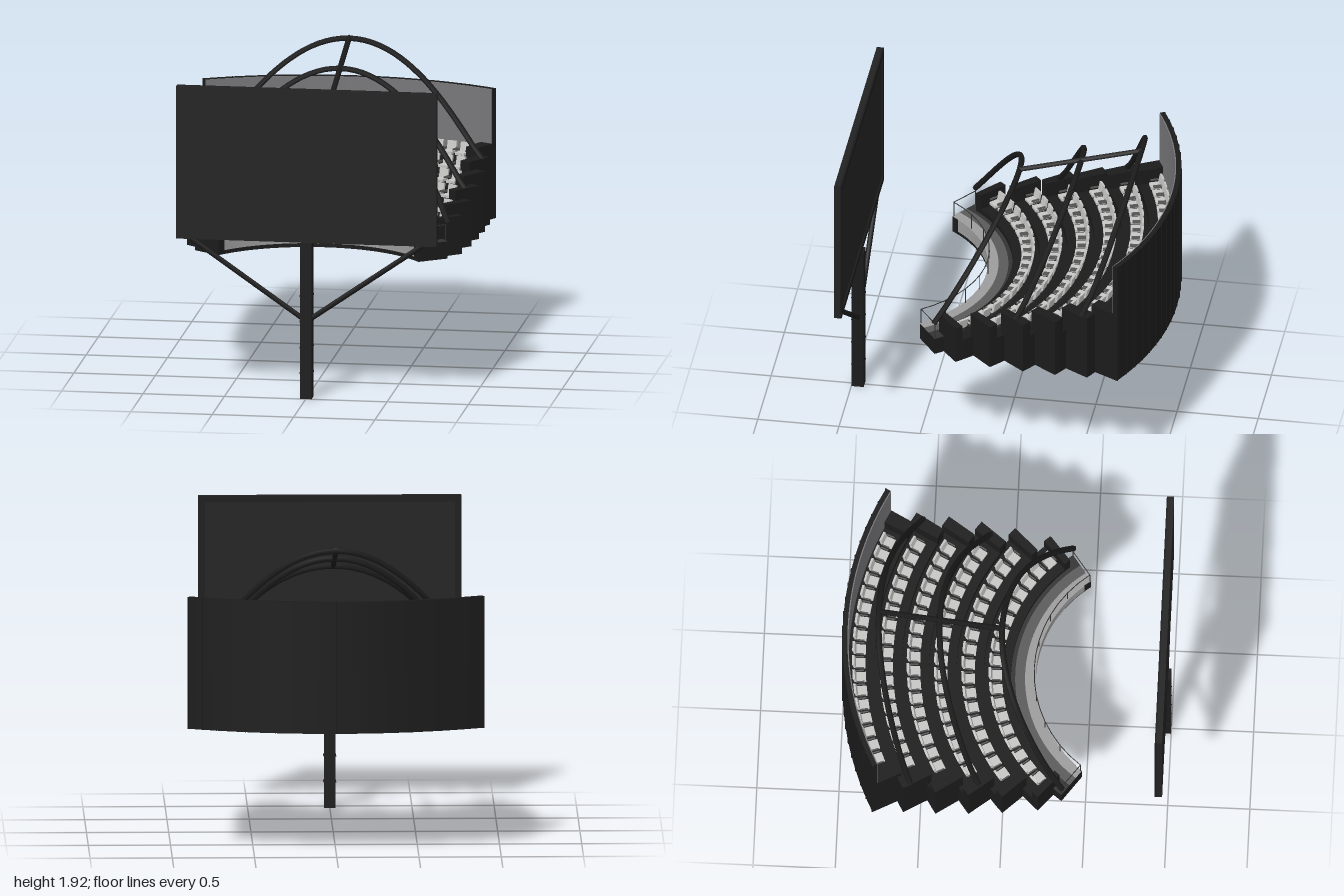
import * as THREE from 'three';

const mat = (name, color, side = THREE.FrontSide) => {
  const m = new THREE.MeshStandardMaterial({ color, side });
  m.name = name;
  return m;
};

const FOCUS = 0.93; // z of the point every tier curves around
const BASE = 0.76;  // underside of the stand
const RAD = Math.PI / 180;

// point on a circle around the focus, angle measured from straight back
const polar = (r, a, y) => new THREE.Vector3(r * Math.sin(a), y, FOCUS - r * Math.cos(a));

// ring sector between two radii, two angles (degrees) and two heights
function sector(r0, r1, a0, a1, y0, y1, segments = 24) {
  const s = new THREE.Shape();
  const p0 = Math.PI / 2 - a1 * RAD, p1 = Math.PI / 2 - a0 * RAD;
  s.absarc(0, 0, r1, p0, p1, false);
  s.absarc(0, 0, r0, p1, p0, true);
  const g = new THREE.ExtrudeGeometry(s, { depth: y1 - y0, bevelEnabled: false, curveSegments: segments });
  return g.rotateX(-Math.PI / 2).translate(0, y0, FOCUS);
}

export function createModel() {
  const root = new THREE.Group();
  const black = mat('black structure', 0x1b1b1b);
  const screenMat = mat('screen black', 0x222222);
  const charcoal = mat('charcoal', 0x333333);
  const slate = mat('mid grey', 0x5a5a5a);
  const wallGrey = mat('wall grey', 0x77777a);
  const frontGrey = mat('front panel grey', 0x9c9c9c);
  const seatMat = mat('seat light grey', 0xc6c6c4);

  const add = (name, geo, m, parent = root) => {
    const mesh = new THREE.Mesh(geo, m);
    mesh.name = name;
    parent.add(mesh);
    return mesh;
  };
  const box = (name, w, h, d, x, y, z, m, parent) =>
    add(name, new THREE.BoxGeometry(w, h, d).translate(x, y, z), m, parent);
  const bar = (name, a, b, r, m, parent, sides = 6) => {
    const mesh = add(name, new THREE.CylinderGeometry(r, r, a.distanceTo(b), sides), m, parent);
    mesh.position.copy(a).lerp(b, 0.5);
    mesh.quaternion.setFromUnitVectors(new THREE.Vector3(0, 1, 0), b.clone().sub(a).normalize());
    return mesh;
  };

  // Screen: panel with a raised frame on the audience side
  const screen = new THREE.Group();
  screen.name = 'screen';
  root.add(screen);
  box('screenPanel', 1.6, 0.95, 0.035, 0, 1.445, 0.9625, screenMat, screen);
  for (const s of [-1, 1]) {
    box('screenFrameSide', 0.04, 0.95, 0.012, s * 0.78, 1.445, 0.941, black, screen);
    box('screenFrameRail', 1.52, 0.04, 0.012, 0, 1.445 + s * 0.455, 0.941, black, screen);
  }

  // Post with joint bands, and two diagonal struts
  box('post', 0.07, 0.965, 0.074, 0, 0.4825, 0.961, black);
  for (const y of [0.16, 0.32, 0.48, 0.64])
    box('postBand', 0.078, 0.008, 0.078, 0, y, 0.961, black);
  for (const s of [-1, 1])
    bar('strut', new THREE.Vector3(s * 0.02, 0.49, 0.96), new THREE.Vector3(s * 0.71, 0.97, 0.96), 0.016, black, root, 8);

  // Chair parts, shared by every row
  const chairParts = [
    ['chairBase', new THREE.BoxGeometry(0.05, 0.025, 0.04).translate(0, 0.0125, 0), charcoal],
    ['seat', new THREE.BoxGeometry(0.062, 0.016, 0.062).translate(0, 0.033, 0.005), seatMat],
    ['chairBack', new THREE.BoxGeometry(0.062, 0.058, 0.014).rotateX(-0.2).translate(0, 0.066, -0.034), seatMat],
    ['armrest', new THREE.BoxGeometry(0.007, 0.01, 0.05).translate(-0.036, 0.053, 0), slate],
    ['armrest', new THREE.BoxGeometry(0.007, 0.01, 0.05).translate(0.036, 0.053, 0), slate],
  ];

  // Six seating tiers, from the back row to the front row
  const halfAngles = [27.8, 30.4, 34, 38.2, 43.4, 50.2];
  halfAngles.forEach((a, i) => {
    const tier = new THREE.Group();
    tier.name = 'tier' + (i + 1);
    root.add(tier);
    const outer = 1.93 - i * 0.166, inner = outer - 0.195;
    const floor = 1.13 - i * 0.046;
    add('tierPlatform', sector(inner, outer, -a, a, BASE, floor), black, tier);
    for (const s of [-1, 1]) {
      const e = [s * a, s * (a - 2.6)].sort((p, q) => p - q);
      add('tierEndBlock', sector(inner, outer, e[0], e[1], floor, floor + 0.1, 3), black, tier);
    }
    // chairs facing the screen
    const r = outer - 0.105;
    const span = Math.asin(0.7 / r);
    const count = Math.round((2 * span * r) / 0.087);
    for (let k = 0; k < count; k++) {
      const t = -span + (2 * span * k) / (count - 1);
      const chair = new THREE.Group();
      chair.name = 'chair';
      chair.position.copy(polar(r, t, floor));
      chair.rotation.y = -t;
      for (const [name, geo, m] of chairParts) add(name, geo, m, chair);
      tier.add(chair);
    }
  });

  // Front walkway, with lighter floor bands and front panel
  add('frontWalkway', sector(0.76, 0.96, -54, 54, BASE, 0.866), black);
  add('frontPanel', sector(0.755, 0.76, -50, 50, 0.785, 0.87), frontGrey);
  add('walkwayFrontBand', sector(0.76, 0.82, -54, 54, 0.866, 0.87), frontGrey);
  add('walkwayMiddleBand', sector(0.82, 0.88, -54, 54, 0.866, 0.87), slate);
  add('walkwayBackBand', sector(0.88, 0.96, -54, 54, 0.866, 0.87), charcoal);

  // Railing round the walkway
  const railing = new THREE.Group();
  railing.name = 'railing';
  root.add(railing);
  const corners = [polar(0.95, -53.5 * RAD, 0.87)];
  for (let k = 0; k <= 16; k++) corners.push(polar(0.765, (-53.5 + (107 * k) / 16) * RAD, 0.87));
  corners.push(polar(0.95, 53.5 * RAD, 0.87));
  const up = new THREE.Vector3(0, 0.1, 0);
  corners.forEach((p, i) => {
    const top = p.clone().add(up);
    if (i % 2 || i === 0 || i === corners.length - 1) bar('railPost', p, top, 0.003, charcoal, railing, 5);
    if (i) bar('railTop', corners[i - 1].clone().add(up), top, 0.003, charcoal, railing, 5);
  });

  // Back wall of flat panels, with paler lining and raised seams
  add('backWall', sector(1.9, 1.93, -27.8, 27.8, BASE, 1.57, 20), black);
  add('wallLining', sector(1.893, 1.9, -27.6, 27.6, 1.13, 1.568, 20), wallGrey);
  for (let k = 0; k <= 20; k++) {
    const a = -27.7 + (55.4 * k) / 20;
    add('wallSeam', sector(1.925, 1.934, a - 0.1, a + 0.1, BASE, 1.57, 1), black);
  }

  // Leaning roof arches: radius, foot x, foot height, apex height, bow
  const arches = [
    [0.96, 0.78, 0.98, 1.64, 1.05],
    [1.34, 0.82, 1.07, 1.745, 1.2],
    [1.71, 0.86, 1.17, 1.85, 1.2],
  ];
  for (const [r, x, y0, y1, bow] of arches) {
    const end = Math.asin(x / r);
    const pts = [];
    for (let k = 0; k <= 24; k++) {
      const a = -end + (2 * end * k) / 24;
      const t = Math.max(0, (Math.cos(a) - Math.cos(end)) / (1 - Math.cos(end)));
      pts.push(polar(r, a, y0 + (y1 - y0) * Math.pow(t, bow)));
    }
    add('roofArch', new THREE.TubeGeometry(new THREE.CatmullRomCurve3(pts), 48, 0.018, 6), black);
  }
  bar('ridgeBeam', new THREE.Vector3(0, 1.64, -0.02), new THREE.Vector3(0, 1.855, -0.785), 0.017, black);

  return root;
}
